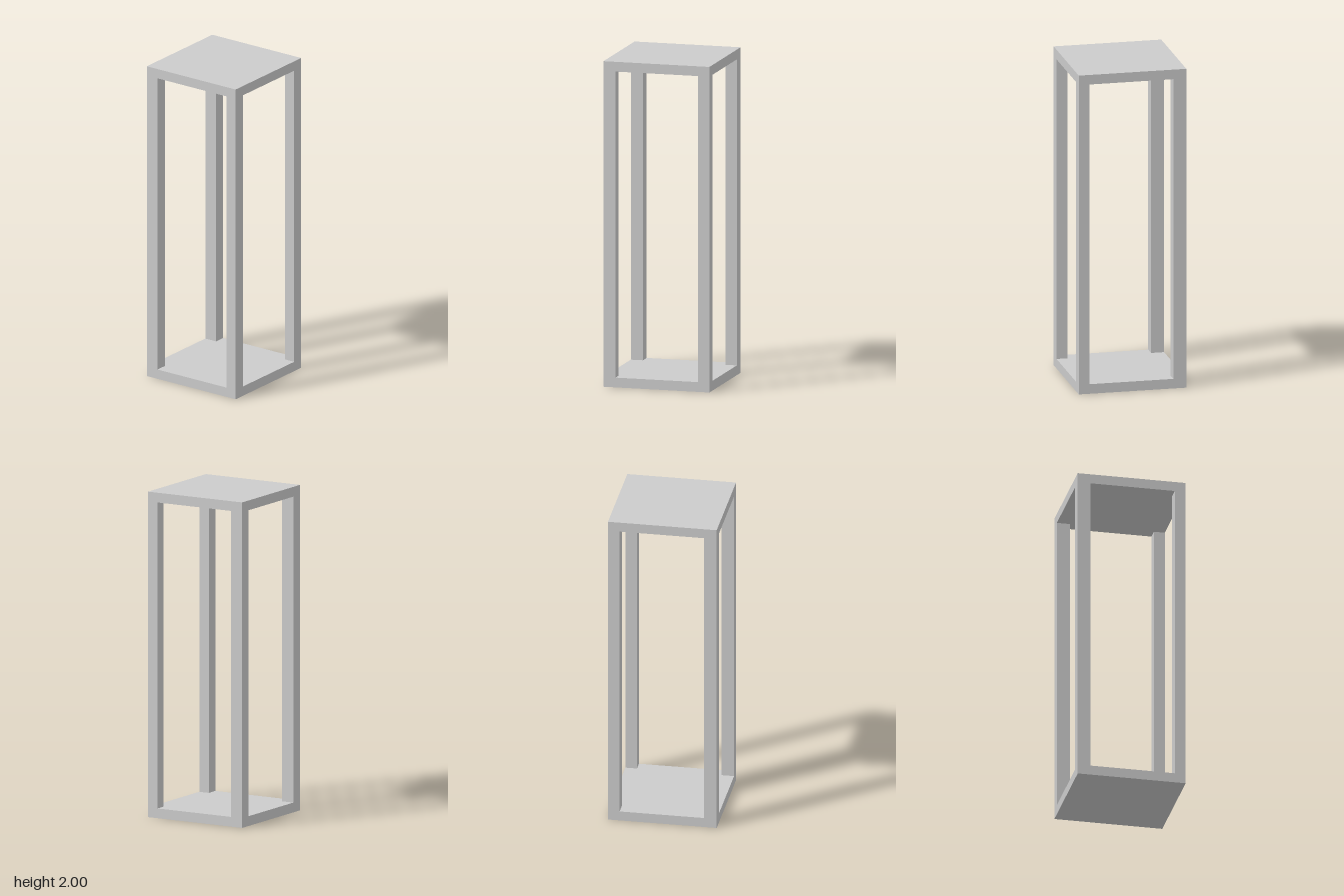
import * as THREE from 'three';

const HALF = 1 / 3;      // half the width and depth
const HEIGHT = 2;
const SLAB = 0.06;       // thickness of the base and the top

export function createModel() {
  const group = new THREE.Group();
  const material = new THREE.MeshStandardMaterial({ color: 0xcccccc });

  // Box given by its lower and upper corners
  const addBox = (name, [x0, y0, z0], [x1, y1, z1]) => {
    const mesh = new THREE.Mesh(new THREE.BoxGeometry(x1 - x0, y1 - y0, z1 - z0), material);
    mesh.position.set((x0 + x1) / 2, (y0 + y1) / 2, (z0 + z1) / 2);
    mesh.name = name;
    group.add(mesh);
  };

  // Square slabs at the bottom and the top
  addBox('base', [-HALF, 0, -HALF], [HALF, SLAB, HALF]);
  addBox('top', [-HALF, HEIGHT - SLAB, -HALF], [HALF, HEIGHT, HALF]);

  // Four corner posts, slightly thicker on the -x side and at the front
  const spansX = { Right: [-HALF, -0.253], Left: [0.266, HALF] };
  const spansZ = { front: [0.257, HALF], back: [-HALF, -0.262] };
  for (const [end, [z0, z1]] of Object.entries(spansZ)) {
    for (const [side, [x0, x1]] of Object.entries(spansX)) {
      addBox(`${end}${side}Post`, [x0, SLAB, z0], [x1, HEIGHT - SLAB, z1]);
    }
  }
  return group;
}
